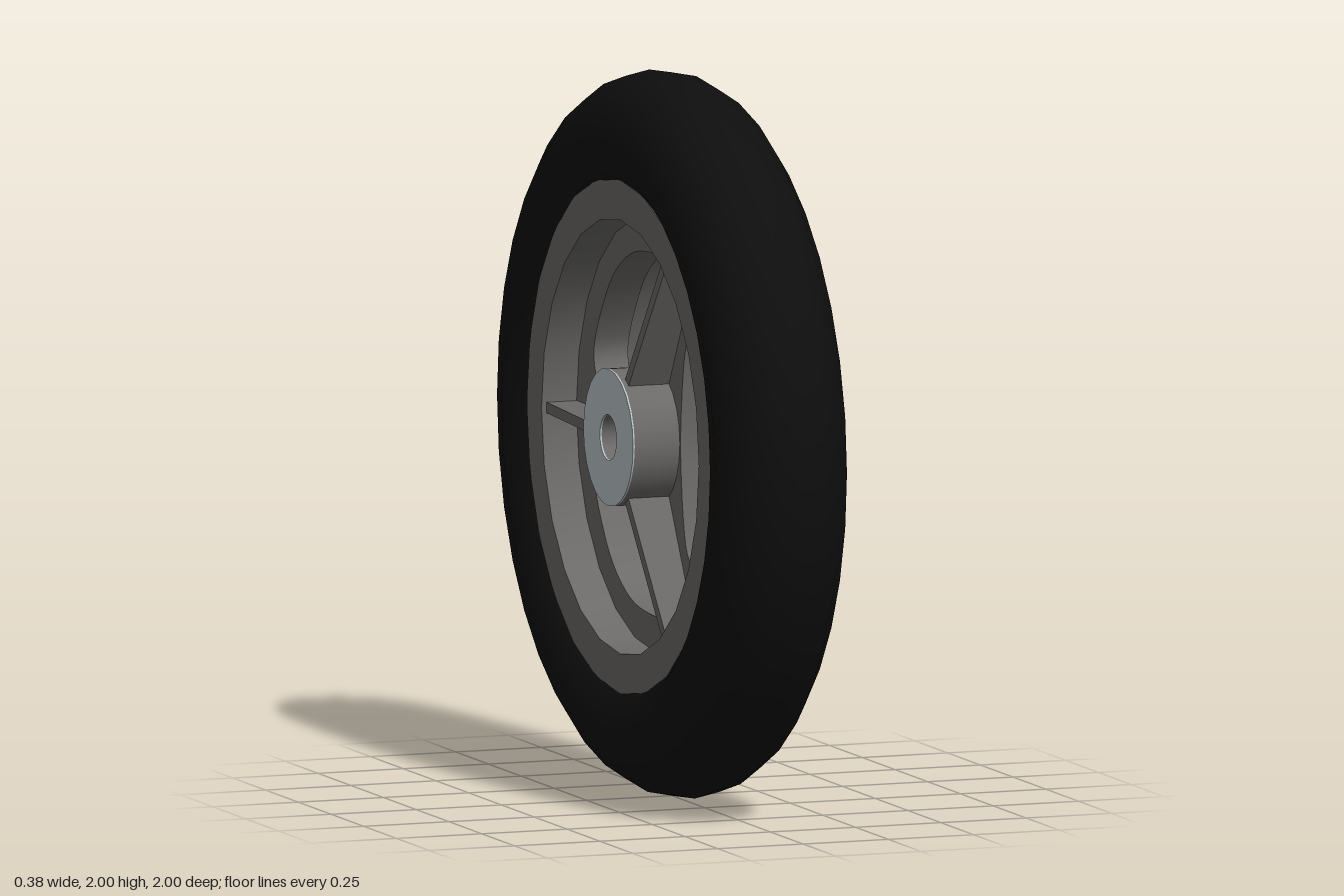
import * as THREE from 'three';
import { toCreasedNormals } from 'three/addons/utils/BufferGeometryUtils.js';

const material = (color) => new THREE.MeshStandardMaterial({ color });

// Ring with a rectangular section, lying around the x axis
function ring(inner, outer, x0, x1, segments) {
  const profile = [[outer, x0], [outer, x1], [inner, x1], [inner, x0], [outer, x0]]
    .map(([r, x]) => new THREE.Vector2(r, x));
  const geometry = new THREE.LatheGeometry(profile, segments);
  geometry.rotateZ(-Math.PI / 2);
  return toCreasedNormals(geometry, 0.6);
}

// Extrudes a shape along x, centred on x = 0 (shape x becomes -z)
function extrudeAlongX(shape, depth, curveSegments = 12) {
  const geometry = new THREE.ExtrudeGeometry(shape, { depth, bevelEnabled: false, curveSegments });
  geometry.translate(0, 0, -depth / 2);
  geometry.rotateY(Math.PI / 2);
  return toCreasedNormals(geometry, 0.6);
}

// Rounded window between two spokes, turned by an angle
function windowHole(angle) {
  const half = [[-0.2, 0.08], [-0.222, 0.23], [-0.25, 0.3], [-0.315, 0.335],
    [-0.375, 0.322], [-0.415, 0.28], [-0.465, 0.19], [-0.5, 0.1]];
  const mirrored = half.map(([x, y]) => [x, -y]).reverse();
  const outline = [[-0.196, 0], ...half, [-0.512, 0], ...mirrored];
  const origin = new THREE.Vector2();
  const points = outline.map(([x, y]) => new THREE.Vector3(x, y, 0));
  const curve = new THREE.CatmullRomCurve3(points, true);
  return new THREE.Path(curve.getPoints(48).slice(0, -1)
    .map((p) => new THREE.Vector2(p.x, p.y).rotateAround(origin, angle)));
}

export function createModel() {
  const wheel = new THREE.Group();
  wheel.name = 'wheel';
  wheel.position.y = 1;

  const rubber = material(0x0e0e0e);
  const rimGrey = material(0x6b6a68);
  const metal = material(0xbdc6cb);

  const add = (name, geometry, mat) => {
    const mesh = new THREE.Mesh(geometry, mat);
    mesh.name = name;
    wheel.add(mesh);
    return mesh;
  };

  // Tyre
  const tyre = new THREE.TorusGeometry(0.8125, 0.1875, 16, 36);
  tyre.rotateY(Math.PI / 2);
  add('tyre', tyre, rubber);

  // Rim and hub
  add('rim', ring(0.6, 0.71, -0.152, 0.152, 24), rimGrey);
  add('hub', ring(0.063, 0.19, -0.182, 0.182, 24), rimGrey);
  for (const side of [-1, 1]) {
    const [x0, x1] = side > 0 ? [0.182, 0.187] : [-0.187, -0.182];
    add(side > 0 ? 'leftHubCap' : 'rightHubCap', ring(0.063, 0.19, x0, x1, 24), metal);
  }

  // Web plate with three windows
  const plate = new THREE.Shape();
  plate.absarc(0, 0, 0.605, 0, Math.PI * 2, false);
  const bore = new THREE.Path();
  bore.absarc(0, 0, 0.15, 0, Math.PI * 2, true);
  plate.holes.push(bore);
  const thirds = [0, 1, 2].map((i) => (i * Math.PI * 2) / 3);
  for (const angle of thirds) plate.holes.push(windowHole(angle));
  add('webPlate', extrudeAlongX(plate, 0.1, 24), rimGrey);

  // Three stiffening ribs, taller at the hub, standing out on both sides
  const ribShape = new THREE.Shape([[0.17, -0.17], [0.605, -0.137], [0.605, 0.137], [0.17, 0.17]]
    .map(([r, x]) => new THREE.Vector2(r, x)));
  const ribGeometry = new THREE.ExtrudeGeometry(ribShape, { depth: 0.03, bevelEnabled: false });
  ribGeometry.translate(0, 0, -0.015);
  ribGeometry.rotateX(-Math.PI / 2);
  ribGeometry.rotateY(Math.PI / 2);
  for (const angle of thirds) {
    add('rib', ribGeometry, rimGrey).rotation.x = angle;
  }

  const model = new THREE.Group();
  model.add(wheel);
  return model;
}
